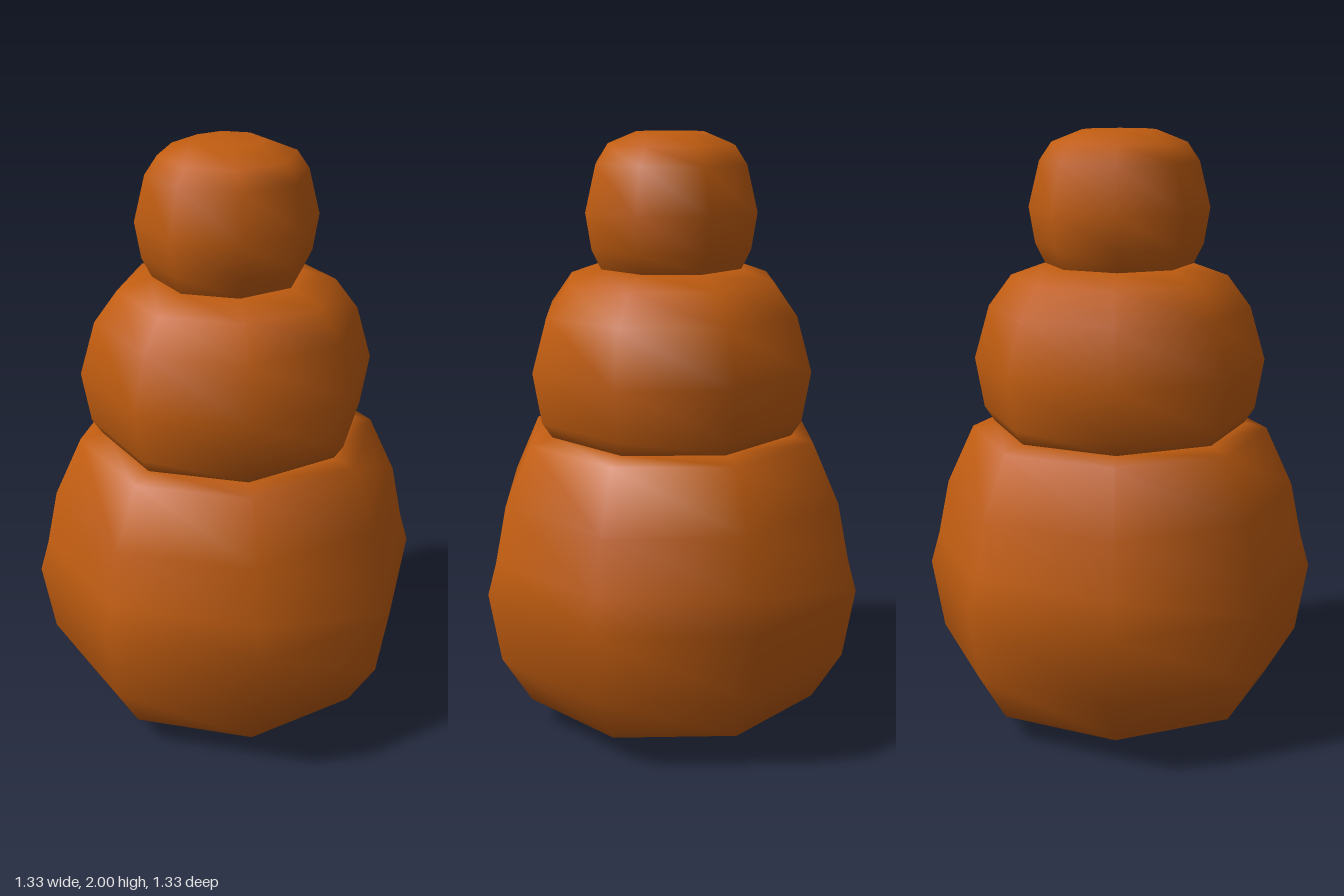
import * as THREE from 'three';

export function createModel() {
  const group = new THREE.Group();
  const orange = new THREE.MeshStandardMaterial({ color: 0xc05c10 });
  orange.name = 'burnt orange';

  // Eight-sided rounded ball, turned from a [radius, height] profile (bottom to top)
  function ball(name, profile) {
    const points = profile.map(([r, y]) => new THREE.Vector2(r, y));
    const mesh = new THREE.Mesh(new THREE.LatheGeometry(points, 8), orange);
    mesh.name = name;
    group.add(mesh);
  }

  // Large ball, flat on the ground
  ball('base', [
    [0, 0], [0.31, 0.005], [0.525, 0.09], [0.627, 0.26], [0.667, 0.5],
    [0.636, 0.61], [0.597, 0.8], [0.505, 1.0], [0.42, 1.02], [0, 1.03],
  ]);

  // Middle ball
  ball('middle', [
    [0, 0.98], [0.39, 0.99], [0.43, 1.02], [0.463, 1.07], [0.492, 1.24],
    [0.44, 1.42], [0.362, 1.525], [0.25, 1.565], [0, 1.57],
  ]);

  // Small top ball
  ball('head', [
    [0, 1.53], [0.23, 1.54], [0.25, 1.57], [0.28, 1.63], [0.3, 1.75],
    [0.263, 1.9], [0.222, 1.96], [0.12, 2.0], [0, 2.0],
  ]);

  return group;
}
